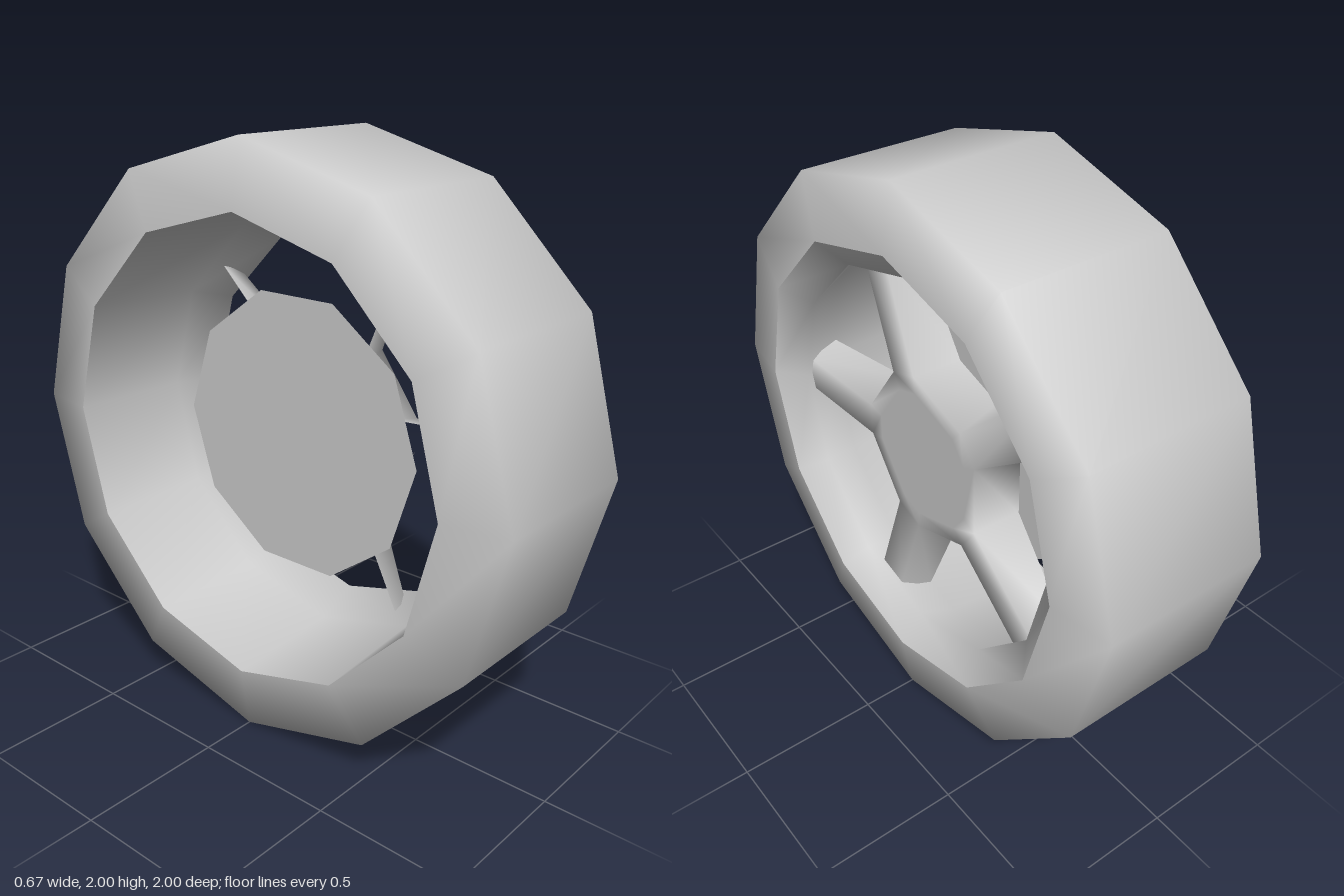
import * as THREE from 'three';

const grey = new THREE.MeshStandardMaterial({ color: 0xcccccc });
const greyDouble = new THREE.MeshStandardMaterial({ color: 0xcccccc, side: THREE.DoubleSide });

// Smooth twelve-sided surface around the x axle; profile points are [radius, x]
function revolve(name, profile) {
  const points = profile.map(([r, x]) => new THREE.Vector2(r, x));
  const mesh = new THREE.Mesh(new THREE.LatheGeometry(points, 12).rotateZ(-Math.PI / 2), grey);
  mesh.name = name;
  return mesh;
}

// Star outline: a pentagonal hub at hubX with a spoke at each corner, ending at tipX
function starRing(hubX, tipX, halfWidth, apothem, tipRadius) {
  const corner = Math.PI / 5;
  const notchRadius = (apothem - halfWidth * Math.sin(corner)) / Math.cos(corner);
  const ring = [];
  for (let i = 0; i < 5; i++) {
    const angle = Math.PI + i * 2 * corner;
    const c = Math.cos(angle), s = Math.sin(angle);
    for (const [x, r, w] of [[hubX, notchRadius, -halfWidth], [tipX, tipRadius, -halfWidth],
      [tipX, tipRadius, halfWidth], [hubX, notchRadius, halfWidth]]) {
      ring.push(x, r * s + w * c, -(r * c - w * s));
    }
  }
  return ring;
}

// Hub and five spokes as one smooth shell with sloping sides, open at the back
function hubAndSpokes() {
  const positions = [
    ...starRing(0.22, 0.23, 0.06, 0.28, 0.69),
    ...starRing(0.06, 0.12, 0.1, 0.31, 0.69),
  ];
  const index = [];
  const inner = 40, centre = 50; // flat middle of the hub
  for (let n = 0; n < 20; n += 4) {
    for (const k of [n, n + 3]) {
      positions.push(0.22, positions[k * 3 + 1] * 0.8, positions[k * 3 + 2] * 0.8);
    }
    const a = inner + n / 2, b = a + 1, next = inner + ((n / 2 + 2) % 10);
    index.push(n, n + 1, n + 2, n, n + 2, n + 3); // spoke front
    index.push(a, n, n + 3, a, n + 3, b); // hub front at the spoke
    index.push(b, n + 3, (n + 4) % 20, b, (n + 4) % 20, next); // hub front between spokes
    index.push(centre, a, b, centre, b, next);
    for (const i of [n, n + 2, n + 3]) { // sides
      const j = (i + 1) % 20;
      index.push(i, i + 20, j, i + 20, j + 20, j);
    }
  }
  positions.push(0.22, 0, 0);
  const geometry = new THREE.BufferGeometry();
  geometry.setAttribute('position', new THREE.Float32BufferAttribute(positions, 3));
  geometry.setIndex(index);
  geometry.computeVertexNormals();
  const mesh = new THREE.Mesh(geometry, grey);
  mesh.name = 'hubAndSpokes';
  return mesh;
}

export function createModel() {
  const wheel = new THREE.Group();
  wheel.name = 'wheel';
  wheel.position.y = 1;

  // Tyre tread and side walls
  wheel.add(revolve('tyre', [[0.78, -0.335], [1, -0.3], [1, 0.3], [0.78, 0.335]]));

  // Rim: narrow lip on the outer side, then a wide barrel open at the inner side
  wheel.add(revolve('rim', [[0.78, 0.335], [0.68, 0.25], [0.75, 0.1], [0.78, -0.335]]));

  wheel.add(hubAndSpokes());

  // Thin brake disc behind the hub
  const disc = new THREE.Mesh(new THREE.CircleGeometry(0.5, 10).rotateY(-Math.PI / 2), greyDouble);
  disc.name = 'brakeDisc';
  disc.position.x = -0.05;
  wheel.add(disc);

  const model = new THREE.Group();
  model.name = 'model';
  model.add(wheel);
  return model;
}
